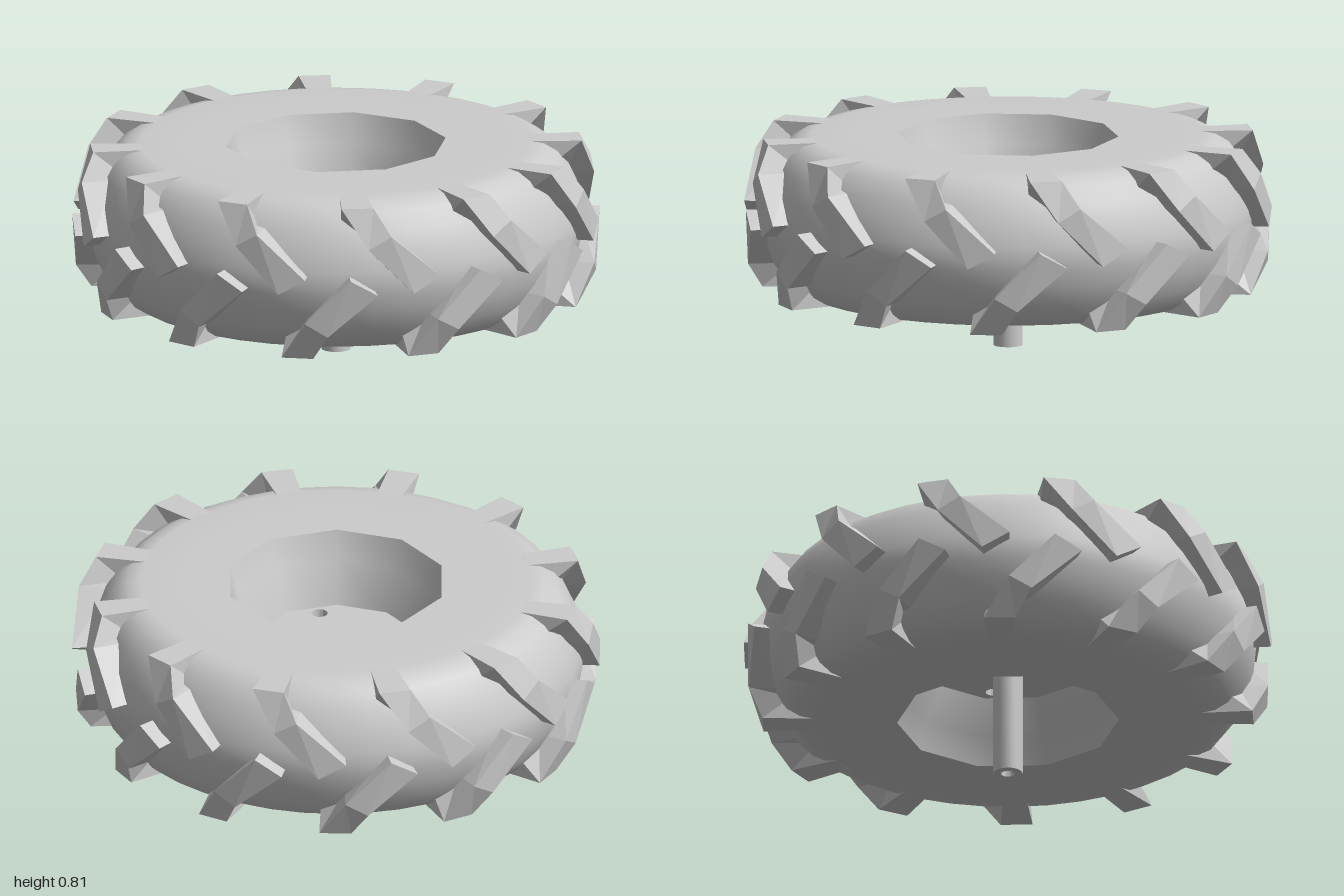
import * as THREE from 'three';
import { toCreasedNormals } from 'three/addons/utils/BufferGeometryUtils.js';

const MID = 0.515; // height of the wheel's middle plane
const TOP = 0.81;
const BOTTOM = 2 * MID - TOP;
const SIDES = 10; // sides of the rim opening
const LUGS = 12; // lugs on each half of the tread

const material = new THREE.MeshStandardMaterial({ color: 0xcccccc });
const deg = THREE.MathUtils.degToRad;

function addMesh(parent, name, geometry) {
  const mesh = new THREE.Mesh(geometry, material);
  mesh.name = name;
  parent.add(mesh);
  return mesh;
}

function lathe(profile, segments) {
  return new THREE.LatheGeometry(profile.map(([r, y]) => new THREE.Vector2(r, y)), segments);
}

// Tyre: rounded shoulders, with the inner edge pulled onto the ten-sided rim
function tyreGeometry() {
  const half = [[0.42, TOP], [0.6, TOP], [0.74, TOP], [0.79, 0.8], [0.84, 0.77], [0.885, 0.71], [0.92, 0.63], [0.936, 0.56]];
  const lower = half.map(([r, y]) => [r, 2 * MID - y]);
  const geometry = lathe([...lower, [0.94, MID], ...half.slice().reverse()], SIDES * 4);
  const pos = geometry.attributes.position;
  const side = (2 * Math.PI) / SIDES;
  for (let i = 0; i < pos.count; i++) {
    const x = pos.getX(i), z = pos.getZ(i);
    if (Math.hypot(x, z) > 0.5) continue;
    const angle = Math.atan2(x, z) + 2 * Math.PI;
    const k = Math.cos(side / 2) / Math.cos((angle % side) - side / 2);
    pos.setX(i, x * k);
    pos.setZ(i, z * k);
  }
  return geometry;
}

// Lug: four-cornered sections from the tread centre, over the shoulder, to the sidewall
function lugGeometry(mirrored) {
  // left angle, left y, right angle, right y, outer radius, base radius, base drop
  const stations = [
    [-3.5, 0.485, 2.5, 0.545, 1.0, 0.91, 0],
    [-13.5, 0.66, -8.5, 0.71, 0.985, 0.87, 0],
    [-19.5, TOP, -12, TOP, 0.93, 0.82, 0.09],
    [-19.5, TOP, -12, TOP, 0.74, 0.72, 0.04],
  ];
  const points = [];
  const put = (angle, y, r) => {
    const a = deg(angle);
    points.push(r * Math.sin(a), mirrored ? 2 * MID - y : y, r * Math.cos(a));
  };
  for (const [la, ly, ra, ry, outer, base, drop] of stations) {
    put(la, ly, outer);
    put(ra, ry, outer);
    put(ra, ry - drop, base);
    put(la, ly - drop, base);
  }
  const faces = [];
  const quad = (a, b, c, d) => faces.push(...(mirrored ? [a, c, b, a, d, c] : [a, b, c, a, c, d]));
  const last = (stations.length - 1) * 4;
  for (let s = 0; s < last; s += 4) {
    for (let j = 0; j < 4; j++) {
      const k = (j + 1) % 4;
      quad(s + j, s + k, s + 4 + k, s + 4 + j);
    }
  }
  quad(3, 2, 1, 0);
  quad(last, last + 1, last + 2, last + 3);
  const indexed = new THREE.BufferGeometry();
  indexed.setAttribute('position', new THREE.Float32BufferAttribute(points, 3));
  indexed.setIndex(faces);
  const geometry = indexed.toNonIndexed();
  geometry.computeVertexNormals();
  return geometry;
}

// Wheel disc: ten-sided plate with four bolt holes
function discGeometry(y0, y1) {
  const shape = new THREE.Shape();
  for (let i = 0; i < SIDES; i++) {
    const a = Math.PI / 2 + (i * 2 * Math.PI) / SIDES;
    shape[i ? 'lineTo' : 'moveTo'](0.325 * Math.cos(a), 0.325 * Math.sin(a));
  }
  shape.closePath();
  for (let i = 0; i < 4; i++) {
    const a = deg(14) + (i * Math.PI) / 2;
    const hole = new THREE.Path();
    hole.absarc(0.262 * Math.cos(a), 0.262 * Math.sin(a), 0.031, 0, 2 * Math.PI, true);
    shape.holes.push(hole);
  }
  const geometry = new THREE.ExtrudeGeometry(shape, { depth: y1 - y0, bevelEnabled: false, curveSegments: 8 });
  return geometry.rotateX(-Math.PI / 2).translate(0, y0, 0);
}

export function createModel() {
  const model = new THREE.Group();
  model.name = 'wheel';

  addMesh(model, 'tyre', tyreGeometry());

  // Rim wall, narrowing from both sides towards the disc
  addMesh(model, 'rim', lathe([[0.42, TOP], [0.39, 0.7], [0.323, 0.54], [0.323, 0.46], [0.39, 0.33], [0.42, BOTTOM]], SIDES));
  addMesh(model, 'disc', discGeometry(0.46, 0.54));

  const hub = addMesh(model, 'hub', new THREE.CylinderGeometry(0.14, 0.14, 0.1, 24));
  hub.position.y = 0.5;

  // Axle with a blind bore in its lower end
  const axle = lathe([[0, 0.2], [0.026, 0.2], [0.026, 0], [0.056, 0], [0.056, 0.555], [0, 0.555]], 20);
  addMesh(model, 'axle', toCreasedNormals(axle, deg(35)));

  // Tread: two staggered rows of lugs forming a chevron pattern
  const tread = new THREE.Group();
  tread.name = 'tread';
  model.add(tread);
  const step = (2 * Math.PI) / LUGS;
  const upper = lugGeometry(false), lower = lugGeometry(true);
  for (let i = 0; i < LUGS; i++) {
    addMesh(tread, 'upperLug', upper).rotation.y = i * step;
    addMesh(tread, 'lowerLug', lower).rotation.y = (i - 0.47) * step;
  }
  return model;
}
